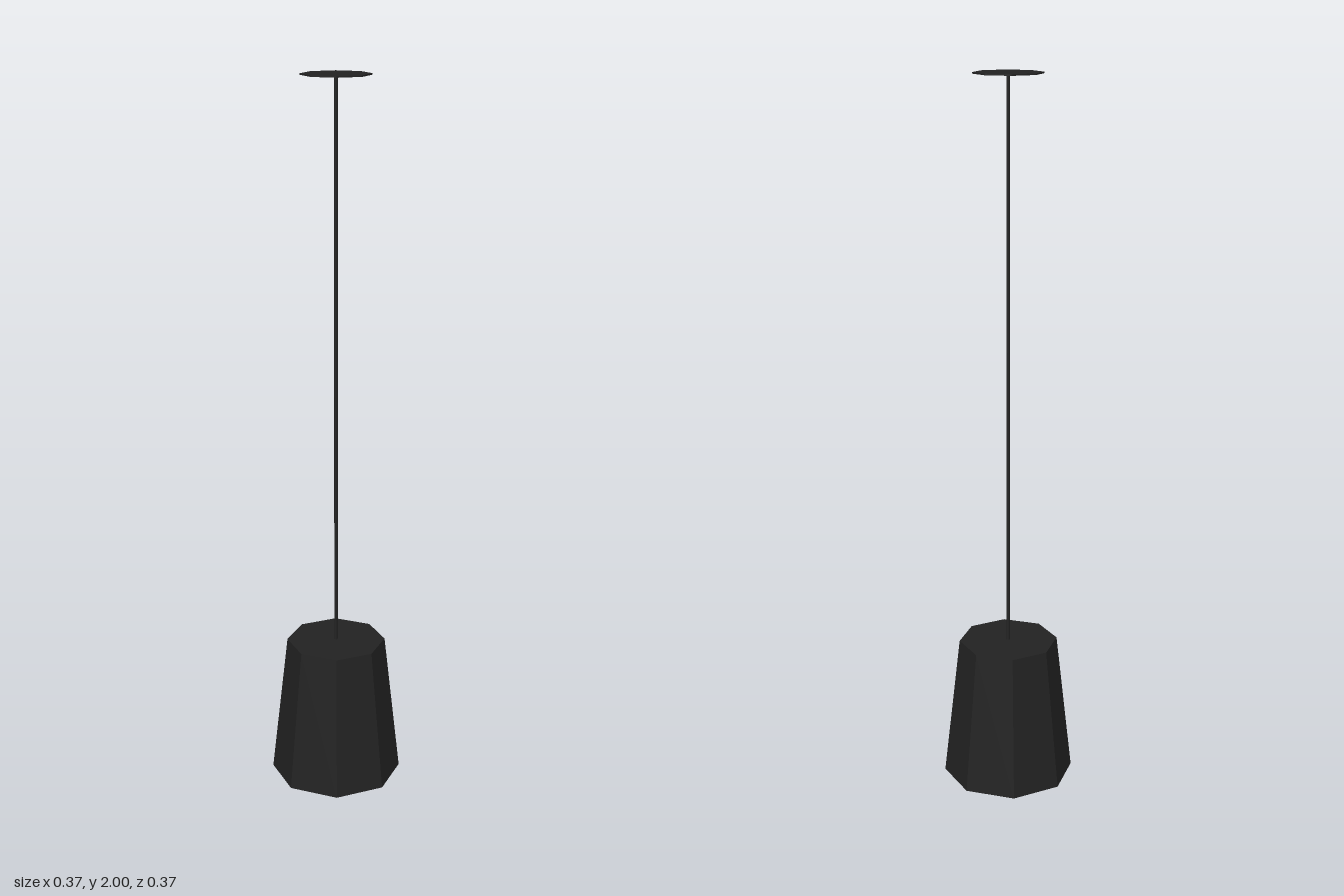
import * as THREE from 'three';

export function createModel() {
  const group = new THREE.Group();
  const black = new THREE.MeshStandardMaterial({ color: 0x222222, flatShading: true, side: THREE.DoubleSide });
  black.name = 'matte black';
  const cream = new THREE.MeshStandardMaterial({ color: 0xf0dfba, flatShading: true });
  cream.name = 'warm cream';

  const add = (name, geometry, material, y) => {
    const mesh = new THREE.Mesh(geometry, material);
    mesh.name = name;
    mesh.position.y = y;
    group.add(mesh);
  };
  const lathe = (points) =>
    new THREE.LatheGeometry(points.map(([r, y]) => new THREE.Vector2(r, y)), 8);

  // Octagonal shade, closed on top and open below
  add('shade', lathe([[0.186, 0], [0.14, 0.41], [0, 0.41]]), black, 0);

  // Ceiling plate and hanging cord
  add('ceilingPlate', new THREE.CylinderGeometry(0.093, 0.093, 0.004, 8), black, 1.998);
  add('cord', new THREE.CylinderGeometry(0.005, 0.005, 1.588, 8), black, 1.204);

  // Bulb with a tapering neck, held by a socket under the shade top
  add('bulb', lathe([
    [0, 0.037], [0.042, 0.049], [0.071, 0.08], [0.082, 0.118],
    [0.073, 0.158], [0.048, 0.2], [0.035, 0.25], [0, 0.25],
  ]), cream, 0);
  add('socket', new THREE.CylinderGeometry(0.04, 0.04, 0.165, 8), black, 0.3265);

  return group;
}
